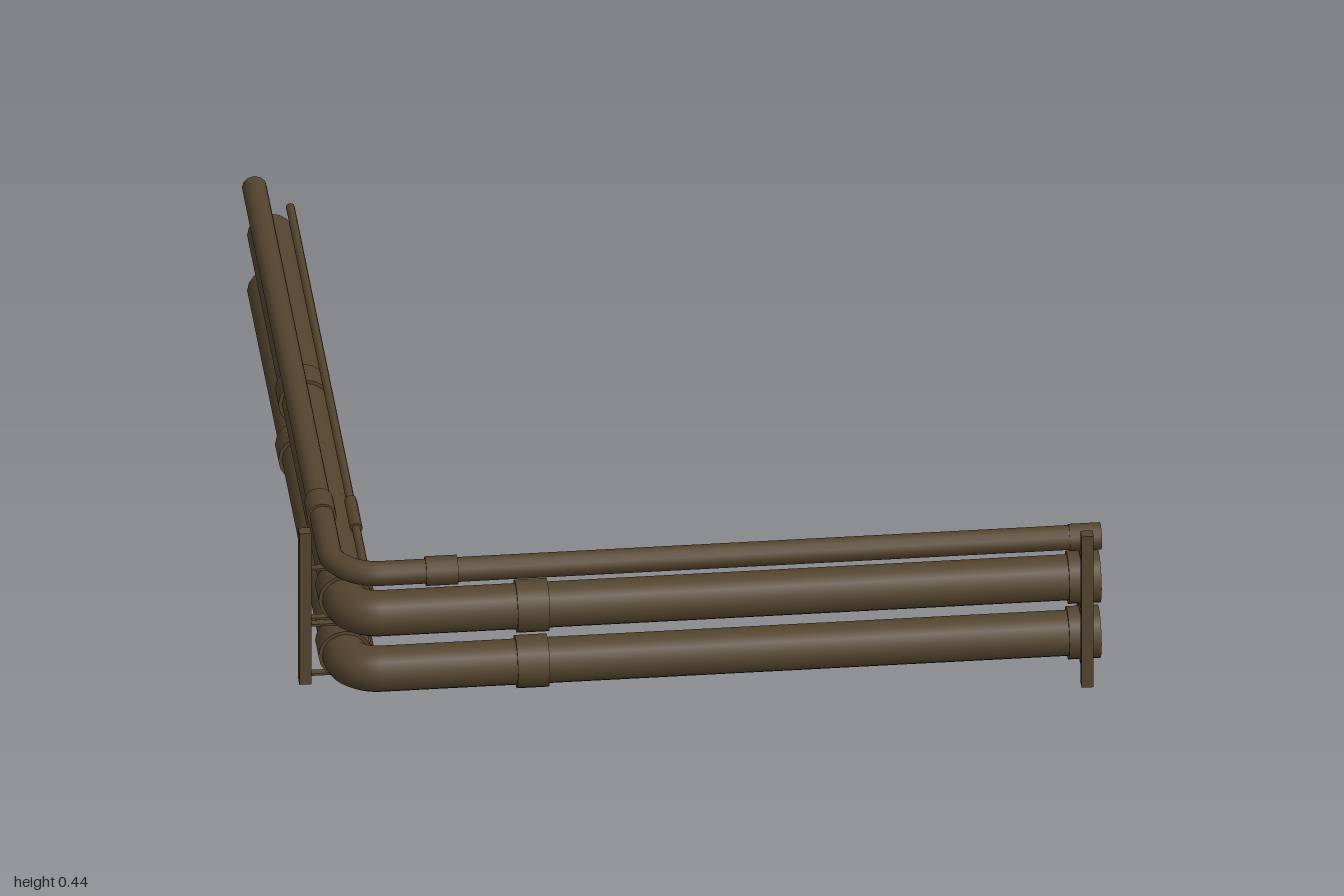
import * as THREE from 'three';

const BEND = 0.81; // bend centre lies at (-BEND, y, BEND)
const END_X = 0.99, END_Z = -1;

export function createModel() {
  const root = new THREE.Group();
  root.name = 'cornerPipes';
  const brown = new THREE.MeshStandardMaterial({ color: 0x54442e, side: THREE.DoubleSide });
  brown.name = 'dark brown metal';

  const add = (name, geo, parent = root) => {
    const m = new THREE.Mesh(geo, brown);
    m.name = name;
    parent.add(m);
    return m;
  };
  // cylinder along the x axis or z axis
  const rod = (axis, r, len, sides, open) => {
    const g = new THREE.CylinderGeometry(r, r, len, sides, 1, open);
    return axis === 'x' ? g.rotateZ(Math.PI / 2) : g.rotateX(Math.PI / 2);
  };

  // c: offset of the pipe axis, collars: [axis, position, length, radius]
  function pipe(name, y, c, r, sides, collars) {
    const g = new THREE.Group();
    g.name = name;
    g.position.y = y;
    root.add(g);
    const lenX = END_X + BEND, lenZ = BEND - END_Z;
    add('frontRun', rod('x', r, lenX, sides, true), g).position.set((END_X - BEND) / 2, 0, c);
    add('sideRun', rod('z', r, lenZ, sides, true), g).position.set(-c, 0, (BEND + END_Z) / 2);
    const bend = new THREE.TorusGeometry(c - BEND, r, sides, 10, Math.PI / 2);
    bend.rotateZ(Math.PI / 2).rotateX(Math.PI / 2);
    add('bend', bend, g).position.set(-BEND, 0, BEND);
    add('endCap', new THREE.CircleGeometry(r, sides).rotateY(Math.PI / 2), g).position.set(END_X, 0, c);
    for (const [axis, p, len, cr] of collars) {
      const m = add('collar', rod(axis, cr, len, sides), g);
      if (axis === 'x') m.position.set(p, 0, c);
      else m.position.set(-c, 0, p);
    }
  }

  const bigY = [0.095, 0.255], bigC = 0.888;
  for (const y of bigY) {
    pipe('largePipe', y, bigC, 0.058, 16, [
      ['x', -0.43, 0.08, 0.067], ['x', 0.95, 0.08, 0.067],
      ['z', -0.2, 0.08, 0.067], ['z', 0.77, 0.08, 0.067],
    ]);
  }
  pipe('upperPipe', 0.393, 0.928, 0.031, 12, [
    ['x', -0.66, 0.08, 0.037], ['x', 0.95, 0.08, 0.034], ['z', 0.595, 0.08, 0.037],
  ]);
  pipe('conduit', 0.33, 0.838, 0.011, 8, [
    ['x', 0.895, 0.09, 0.016], ['z', 0.525, 0.14, 0.016],
  ]);

  // post with U-shaped straps round the large pipes; local +z points outward
  function bracket(x, z, turn) {
    const g = new THREE.Group();
    g.name = 'bracket';
    g.position.set(x, 0, z);
    g.rotation.y = turn;
    root.add(g);
    add('post', new THREE.BoxGeometry(0.03, 0.435, 0.03), g).position.set(0, 0.2175, 0.097);
    const ri = 0.068, ro = 0.074, out = 0.085;
    const u = new THREE.Shape();
    u.moveTo(out, -ro);
    u.lineTo(0, -ro);
    u.absarc(0, 0, ro, -Math.PI / 2, Math.PI / 2, true);
    u.lineTo(out, ro);
    u.lineTo(out, ri);
    u.lineTo(0, ri);
    u.absarc(0, 0, ri, Math.PI / 2, -Math.PI / 2, false);
    u.lineTo(out, -ri);
    u.closePath();
    for (const y of bigY) {
      const s = new THREE.ExtrudeGeometry(u, { depth: 0.02, bevelEnabled: false, curveSegments: 10 });
      s.translate(0, 0, -0.01).rotateY(-Math.PI / 2);
      add('strap', s, g).position.y = y;
    }
  }
  bracket(0.95, bigC, 0);
  bracket(-bigC, 0.77, -Math.PI / 2);

  return root;
}
